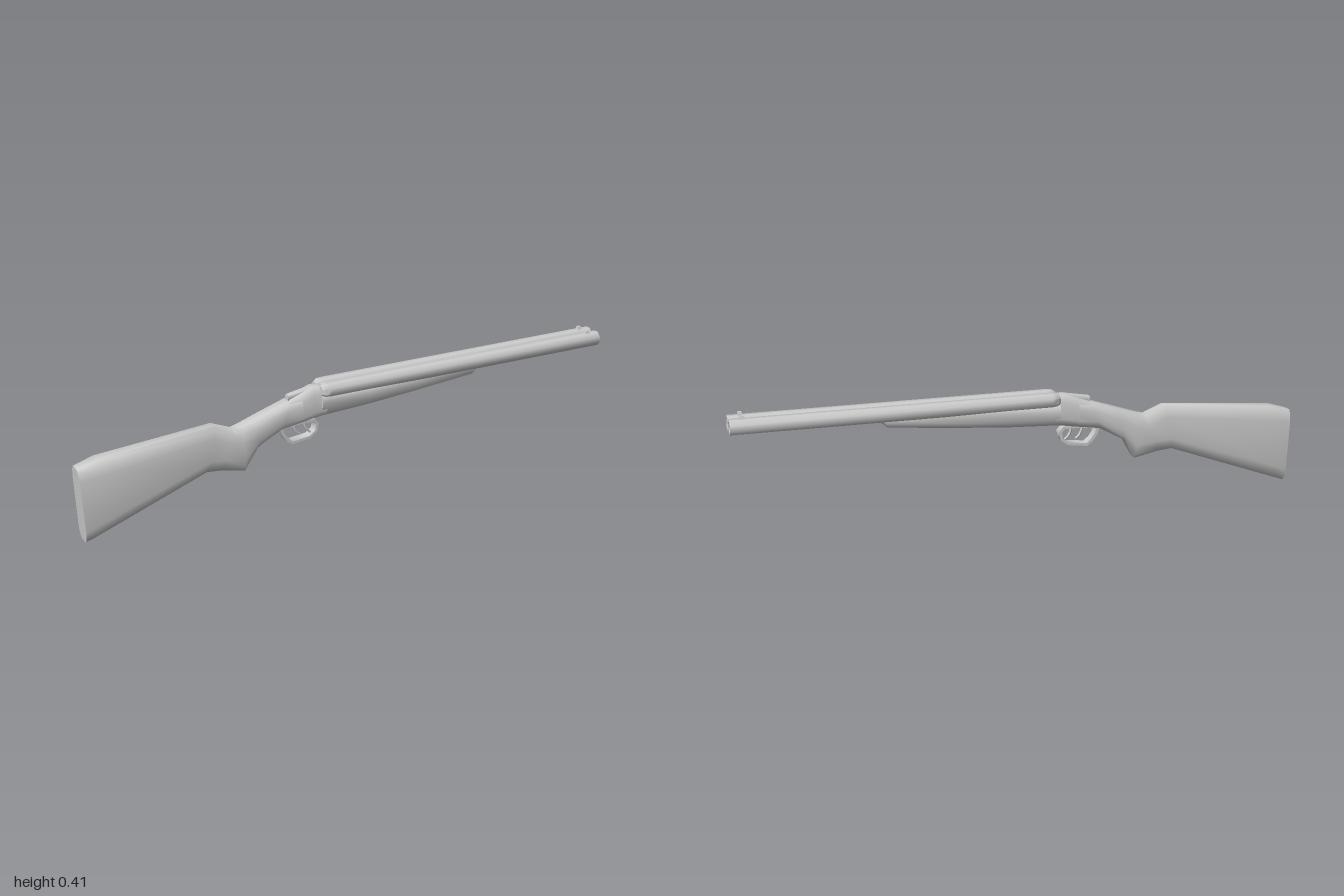
import * as THREE from 'three';
import { toCreasedNormals } from 'three/addons/utils/BufferGeometryUtils.js';

const CREASE = 0.9;

function add(parent, name, geometry) {
  const mesh = new THREE.Mesh(toCreasedNormals(geometry, CREASE),
    new THREE.MeshStandardMaterial({ color: 0xcccccc }));
  mesh.name = name;
  parent.add(mesh);
  return mesh;
}

// Loft along x. Section: [bottom x, bottom y, top x, top y, lower half width, upper half width, chamfer]
function loft(sections) {
  const pos = [], idx = [];
  for (const [xb, yb, xt, yt, wb, wt, c] of sections) {
    const half = [[0.5 * wt, 1], [0.84 * wt, 1 - 0.35 * c], [wt, 1 - c],
      [wb, c], [0.84 * wb, 0.35 * c], [0.45 * wb, 0]];
    const ring = [...half, ...half.map(([z, t]) => [-z, t]).reverse()];
    for (const [z, t] of ring) pos.push(xb + (xt - xb) * t, yb + (yt - yb) * t, z);
  }
  const n = 12, last = (sections.length - 1) * n;
  for (let i = 0; i < sections.length - 1; i++) {
    for (let j = 0; j < n; j++) {
      const a = i * n + j, b = i * n + (j + 1) % n;
      idx.push(a, b, b + n, a, b + n, a + n);
    }
  }
  for (let j = 1; j < n - 1; j++) idx.push(0, j + 1, j, last, last + j, last + j + 1);
  const g = new THREE.BufferGeometry();
  g.setAttribute('position', new THREE.Float32BufferAttribute(pos, 3));
  g.setIndex(idx);
  return g;
}

export function createModel() {
  const model = new THREE.Group();
  model.name = 'doubleBarrelShotgun';

  // Butt, pistol grip and wrist
  add(model, 'stock', loft([
    [-0.985, 0.002, -1.0, 0.265, 0.037, 0.034, 0.16],
    [-0.95, 0.015, -0.93, 0.284, 0.045, 0.045, 0.18],
    [-0.55, 0.16, -0.52, 0.32, 0.034, 0.031, 0.25],
    [-0.5, 0.155, -0.45, 0.291, 0.034, 0.033, 0.3],
    [-0.41, 0.137, -0.425, 0.297, 0.036, 0.036, 0.3],
    [-0.37, 0.208, -0.35, 0.322, 0.038, 0.038, 0.32],
    [-0.28, 0.258, -0.245, 0.356, 0.038, 0.038, 0.3],
    [-0.2, 0.27, -0.2, 0.36, 0.038, 0.036, 0.25],
  ]));

  // Action body
  add(model, 'receiver', loft([
    [-0.27, 0.262, -0.243, 0.358, 0.037, 0.033, 0.25],
    [-0.2, 0.27, -0.2, 0.373, 0.039, 0.031, 0.25],
    [-0.15, 0.278, -0.155, 0.391, 0.039, 0.03, 0.25],
    [-0.11, 0.283, -0.115, 0.388, 0.039, 0.03, 0.25],
  ]));
  add(model, 'topLever', loft([
    [-0.246, 0.35, -0.245, 0.375, 0.012, 0.011, 0.2],
    [-0.16, 0.36, -0.165, 0.389, 0.014, 0.012, 0.2],
  ]));

  // Fore-end under the barrels
  add(model, 'foreEnd', loft([
    [-0.13, 0.281, -0.13, 0.365, 0.038, 0.046, 0.3],
    [0.05, 0.289, 0.05, 0.367, 0.036, 0.045, 0.3],
    [0.25, 0.304, 0.25, 0.37, 0.033, 0.036, 0.3],
    [0.47, 0.324, 0.49, 0.37, 0.028, 0.03, 0.3],
    [0.5, 0.348, 0.515, 0.37, 0.02, 0.024, 0.3],
  ]));

  // Octagonal barrels with hollow muzzles, each with a bead sight
  const profile = [[0, -0.13], [0.017, -0.13], [0.025, -0.118], [0.027, -0.1], [0.027, 1],
    [0.02, 1], [0.016, 0.93], [0, 0.92]].map(([r, d]) => new THREE.Vector2(r, d));
  for (const side of [1, -1]) {
    const label = side > 0 ? 'left' : 'right';
    const barrel = add(model, label + 'Barrel', new THREE.LatheGeometry(profile, 8, Math.PI / 8));
    barrel.rotation.z = -Math.PI / 2;
    barrel.position.set(0, 0.375, 0.025 * side);

    const sight = new THREE.CylinderGeometry(0.008, 0.015, 0.017, 4).rotateY(Math.PI / 4);
    add(model, label + 'Sight', sight).position.set(0.957, 0.402, 0.025 * side);
  }
  add(model, 'rib', new THREE.BoxGeometry(1.08, 0.03, 0.02)).position.set(0.42, 0.376, 0);

  // Trigger guard loop
  const outer = [[-0.28, 0.262], [-0.272, 0.236], [-0.255, 0.213], [-0.235, 0.197], [-0.165, 0.206],
    [-0.138, 0.226], [-0.133, 0.255], [-0.148, 0.274], [-0.2, 0.274]];
  const inner = [[-0.268, 0.258], [-0.262, 0.24], [-0.248, 0.22], [-0.232, 0.207], [-0.168, 0.215],
    [-0.147, 0.231], [-0.143, 0.253], [-0.153, 0.265], [-0.2, 0.265]];
  const toPoints = (list) => list.map(([x, y]) => new THREE.Vector2(x, y));
  const guard = new THREE.Shape(toPoints(outer));
  guard.holes.push(new THREE.Path(toPoints(inner)));
  add(model, 'triggerGuard', new THREE.ExtrudeGeometry(guard, { depth: 0.034, bevelEnabled: false })
    .translate(0, 0, -0.017));

  // Two curved triggers
  [-0.222, -0.182].forEach((x, i) => {
    const curve = new THREE.CatmullRomCurve3([[0, 0.272], [0.004, 0.25], [0.012, 0.234], [0.024, 0.222]]
      .map(([dx, y]) => new THREE.Vector3(x + dx, y, 0)));
    add(model, i ? 'frontTrigger' : 'rearTrigger', new THREE.TubeGeometry(curve, 8, 0.0045, 6));
  });

  return model;
}
